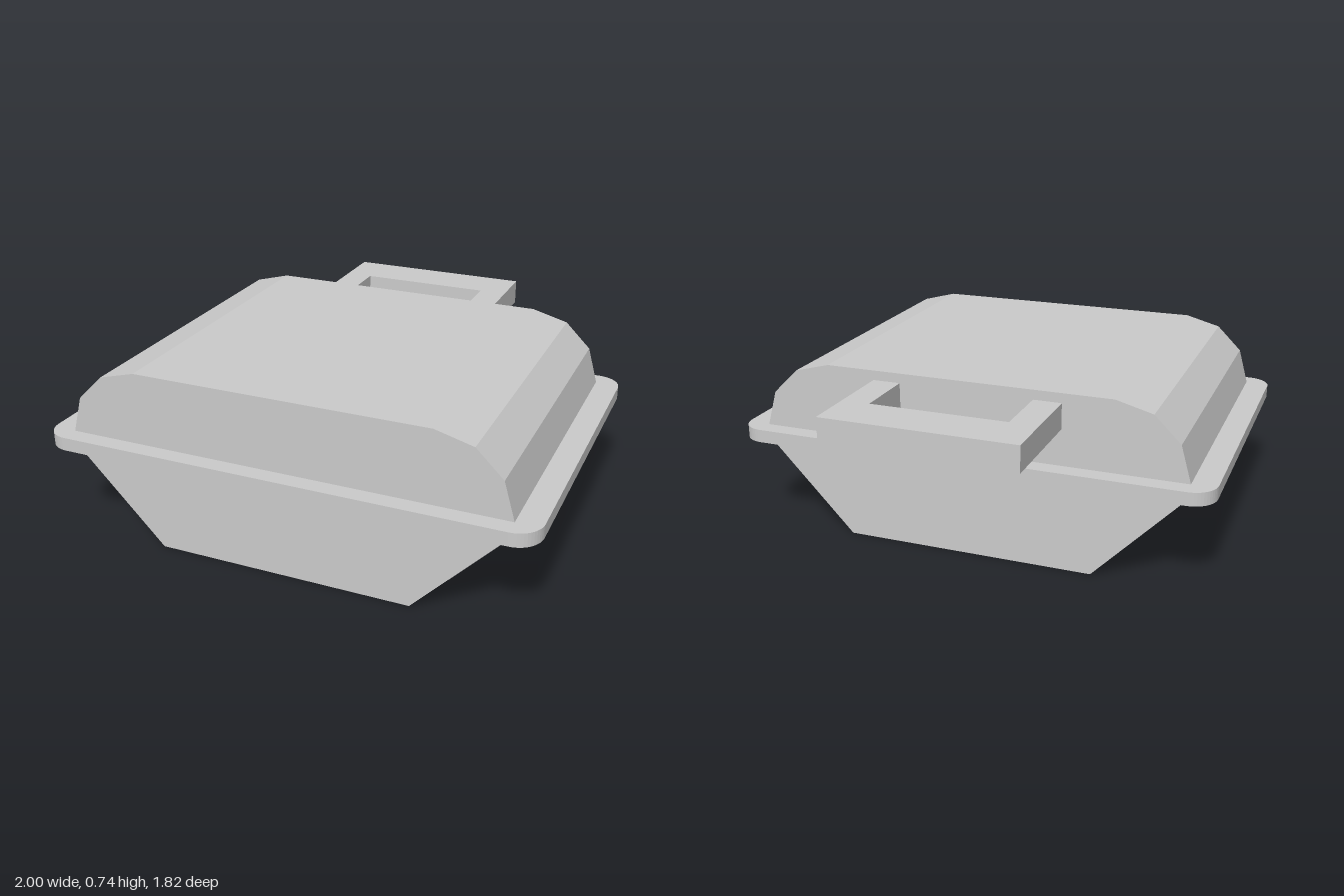
import * as THREE from 'three';

const material = new THREE.MeshStandardMaterial({ color: 0xcccccc, flatShading: true });
const BACK = -0.45, FRONT = 0.837;

// Extrude an outline along +z by a depth
function extrude(name, shape, depth, curveSegments = 6) {
  const geometry = new THREE.ExtrudeGeometry(shape, { depth, bevelEnabled: false, curveSegments });
  const mesh = new THREE.Mesh(geometry, material);
  mesh.name = name;
  return mesh;
}

// Closed outline from its right half, mirrored in x
function mirroredShape(half) {
  const left = half.map(([x, y]) => [-x, y]).reverse();
  return new THREE.Shape([...half, ...left].map(([x, y]) => new THREE.Vector2(x, y)));
}

function roundedRect(x, y, r) {
  const s = new THREE.Shape();
  s.absarc(x - r, y - r, r, 0, Math.PI / 2);
  s.absarc(r - x, y - r, r, Math.PI / 2, Math.PI);
  s.absarc(r - x, r - y, r, Math.PI, Math.PI * 1.5);
  s.absarc(x - r, r - y, r, Math.PI * 1.5, Math.PI * 2);
  s.closePath();
  return s;
}

export function createModel() {
  const model = new THREE.Group();
  model.name = 'lunchBox';

  // Tapered base
  const base = extrude('base', mirroredShape([[0.525, 0], [0.9, 0.39]]), FRONT - BACK);
  base.position.z = BACK;

  // Lid with faceted shoulders
  const lid = extrude('lid', mirroredShape([[0.9, 0.445], [0.857, 0.595], [0.75, 0.7], [0.6, 0.74]]), FRONT - BACK);
  lid.position.z = BACK;

  // Flat rim with rounded corners
  const rim = extrude('rim', roundedRect(1, 0.716, 0.1), 0.055);
  rim.rotation.x = -Math.PI / 2;
  rim.position.set(0, 0.39, 0.192);

  // U-shaped handle behind the lid (shape y becomes -z)
  const handle = extrude('handle', mirroredShape([[0.28, 0.45], [0.395, 0.45], [0.395, 0.908], [0, 0.908]].slice(0, 3)
  ), 0.105);
  handle.geometry.dispose();
  const outline = new THREE.Shape([
    [0.28, 0.45], [0.395, 0.45], [0.395, 0.908], [-0.395, 0.908],
    [-0.395, 0.45], [-0.28, 0.45], [-0.28, 0.71], [0.28, 0.71],
  ].map(([x, y]) => new THREE.Vector2(x, y)));
  handle.geometry = new THREE.ExtrudeGeometry(outline, { depth: 0.105, bevelEnabled: false });
  handle.rotation.x = -Math.PI / 2;
  handle.position.y = 0.595;

  model.add(base, lid, rim, handle);
  return model;
}
